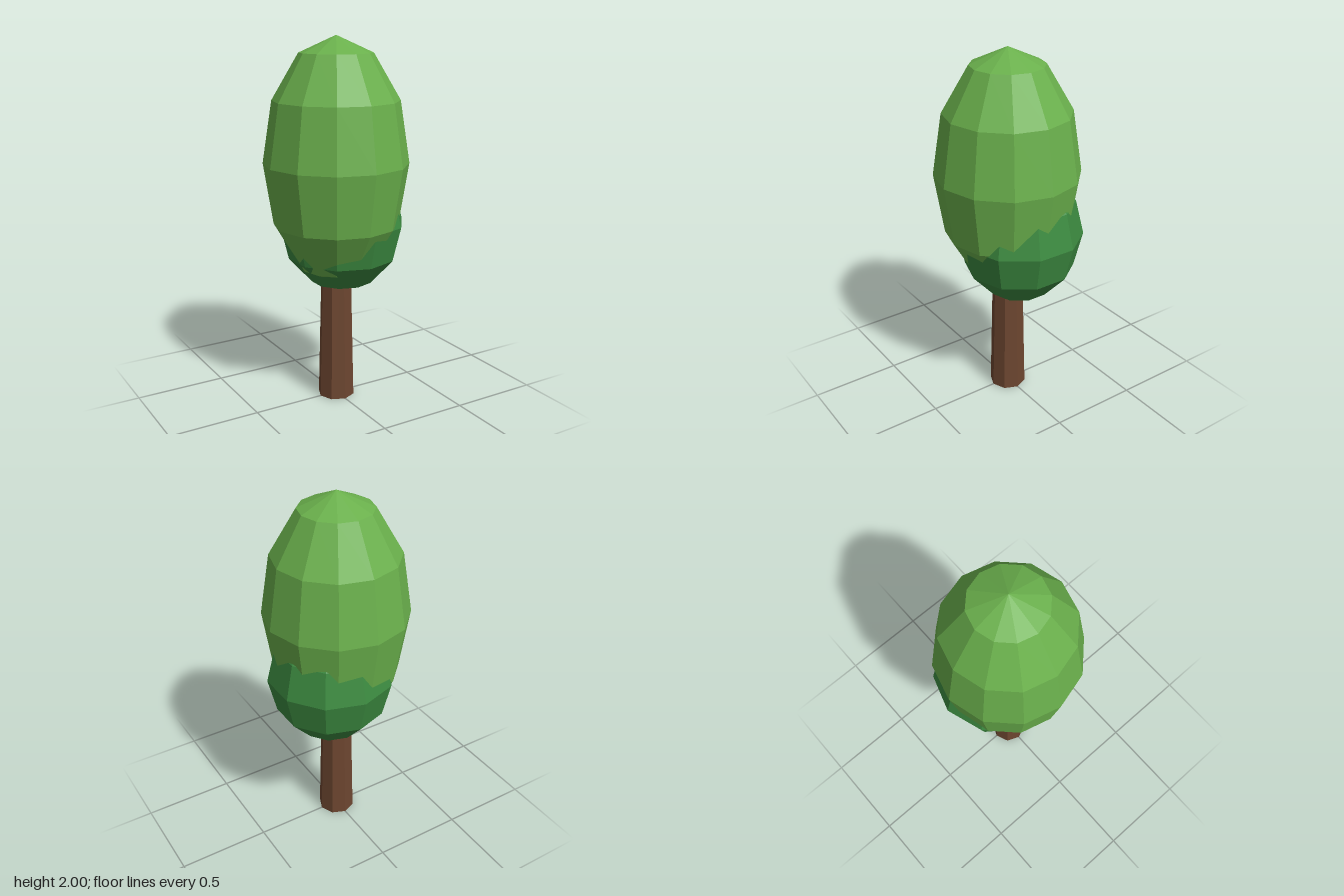
import * as THREE from 'three';

function part(name, geometry, color) {
  const mesh = new THREE.Mesh(geometry, new THREE.MeshStandardMaterial({ color, flatShading: true }));
  mesh.name = name;
  return mesh;
}

// Faceted ellipsoid of foliage
function foliage(name, radius, halfHeight, sides, color) {
  const geometry = new THREE.SphereGeometry(1, sides, 6);
  geometry.scale(radius, halfHeight, radius);
  return part(name, geometry, color);
}

export function createModel() {
  const tree = new THREE.Group();
  tree.name = 'tree';

  // Tapered eight-sided trunk, running up into the foliage
  const trunkHeight = 0.9;
  const trunk = part('trunk', new THREE.CylinderGeometry(0.08, 0.102, trunkHeight, 8), 0x6d4630);
  trunk.position.y = trunkHeight / 2;

  // Tall main crown
  const crown = foliage('upperCrown', 0.392, 0.667, 12, 0x6ab04c);
  crown.position.y = 1.333;

  // Smaller dark clump, off centre, with a flat facet facing +x
  const clump = foliage('lowerCrown', 0.345, 0.383, 10, 0x3c8a40);
  clump.position.set(0.059, 0.992, -0.037);
  clump.rotation.y = Math.PI / 10;

  tree.add(trunk, crown, clump);
  return tree;
}
